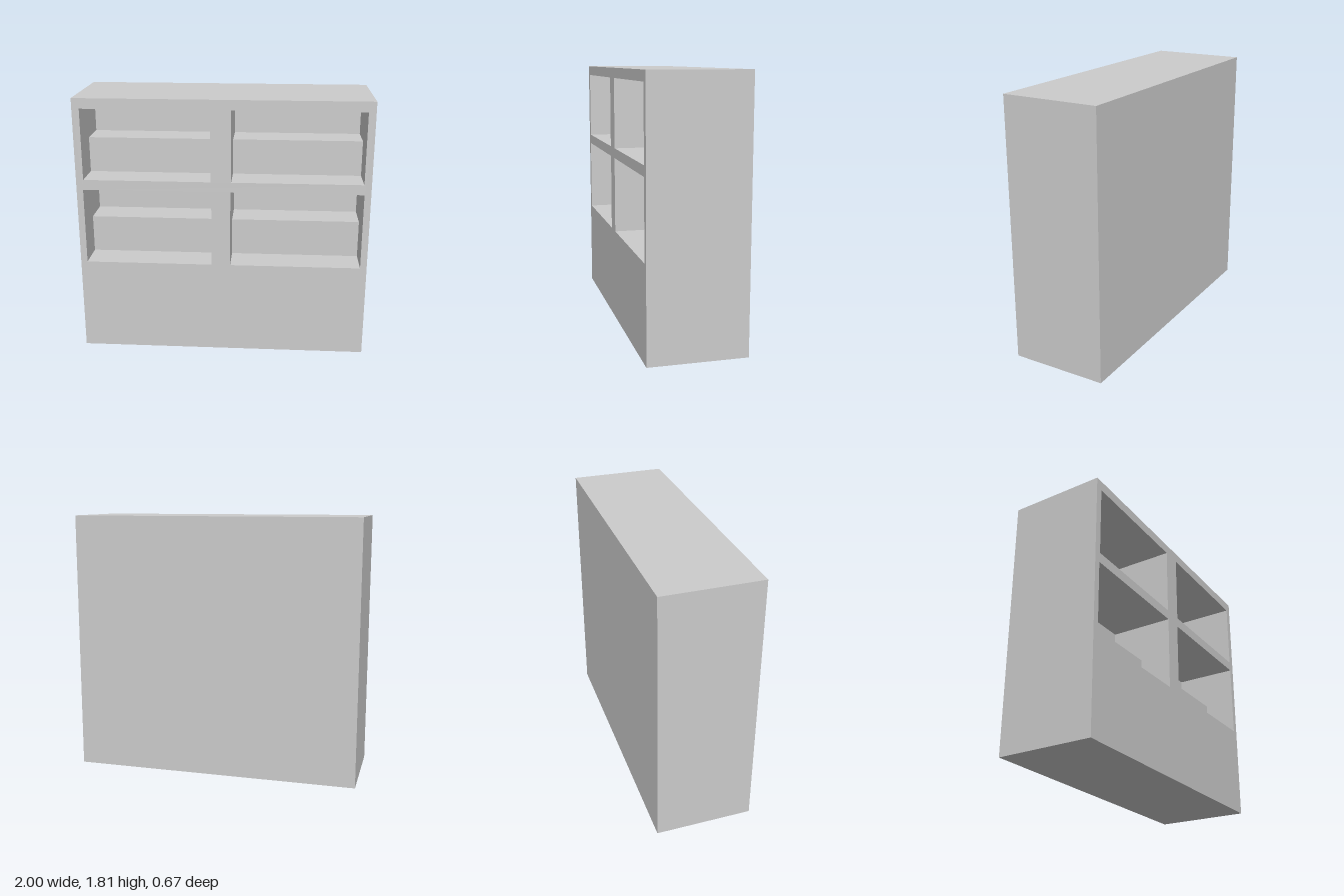
import * as THREE from 'three';
import { mergeGeometries } from 'three/addons/utils/BufferGeometryUtils.js';

const W = 1, H = 1.81, D = 0.335;      // half width, height, half depth
const STEP = 0.228, DEPTH = 0.456;     // depth to the inner step and to the back wall

// Openings: left edge, right edge, bottom, step top, ceiling
const openings = [
  ['upperRightRecess', -0.95, -0.08, 1.25, 1.495, 1.74],
  ['upperLeftRecess', 0.06, 0.95, 1.25, 1.495, 1.74],
  ['lowerRightRecess', -0.955, -0.075, 0.65, 0.91, 1.18],
  ['lowerLeftRecess', 0.055, 0.955, 0.65, 0.91, 1.18],
];

function rectangle(PathType, x0, x1, y0, y1) {
  return new PathType([[x0, y0], [x1, y0], [x1, y1], [x0, y1]].map(p => new THREE.Vector2(...p)));
}

// Sweep a (z, y) profile straight across from x0 to x1
function sweep(profile, x0, x1) {
  const strips = [];
  for (let i = 0; i < profile.length - 1; i++) {
    const [z0, y0] = profile[i], [z1, y1] = profile[i + 1];
    const g = new THREE.BufferGeometry();
    g.setAttribute('position', new THREE.Float32BufferAttribute(
      [x0, y0, z0, x1, y0, z0, x1, y1, z1, x0, y1, z1], 3));
    g.setAttribute('uv', new THREE.Float32BufferAttribute([0, 0, 1, 0, 1, 1, 0, 1], 2));
    g.setIndex([0, 1, 2, 0, 2, 3]);
    g.computeVertexNormals();
    strips.push(g);
  }
  return mergeGeometries(strips);
}

// Flat end wall closing a (z, y) profile at a given x, facing -x or +x
function endWall(profile, x, facing) {
  const shape = new THREE.Shape(profile.map(([z, y]) => new THREE.Vector2(-facing * z, y)));
  return new THREE.ShapeGeometry(shape).rotateY(facing * Math.PI / 2).translate(x, 0, 0);
}

export function createModel() {
  const model = new THREE.Group();
  const material = new THREE.MeshStandardMaterial({ color: 0xcccccc, side: THREE.DoubleSide });
  const add = (name, geometry) => {
    const mesh = new THREE.Mesh(geometry, material);
    mesh.name = name;
    model.add(mesh);
  };

  // Front panel pierced by the four openings
  const front = rectangle(THREE.Shape, -W, W, 0, H);
  front.holes = openings.map(([, x0, x1, y0, , y1]) => rectangle(THREE.Path, x0, x1, y0, y1));
  add('frontPanel', new THREE.ShapeGeometry(front).translate(0, 0, D));

  // Top, back and base in one wrap, then the two sides
  const body = [[D, H], [-D, H], [-D, 0], [D, 0]];
  add('outerCase', sweep(body, -W, W));
  for (const s of [-1, 1]) add(s > 0 ? 'leftSide' : 'rightSide', endWall(body, s * W, s));

  // Stepped recesses: floor, riser, step top, back wall, ceiling and end walls
  for (const [name, x0, x1, y0, yStep, y1] of openings) {
    const profile = [[D, y0], [D - STEP, y0], [D - STEP, yStep],
      [D - DEPTH, yStep], [D - DEPTH, y1], [D, y1]];
    add(name, mergeGeometries([
      sweep(profile, x0, x1), endWall(profile, x0, 1), endWall(profile, x1, -1),
    ]));
  }
  return model;
}
